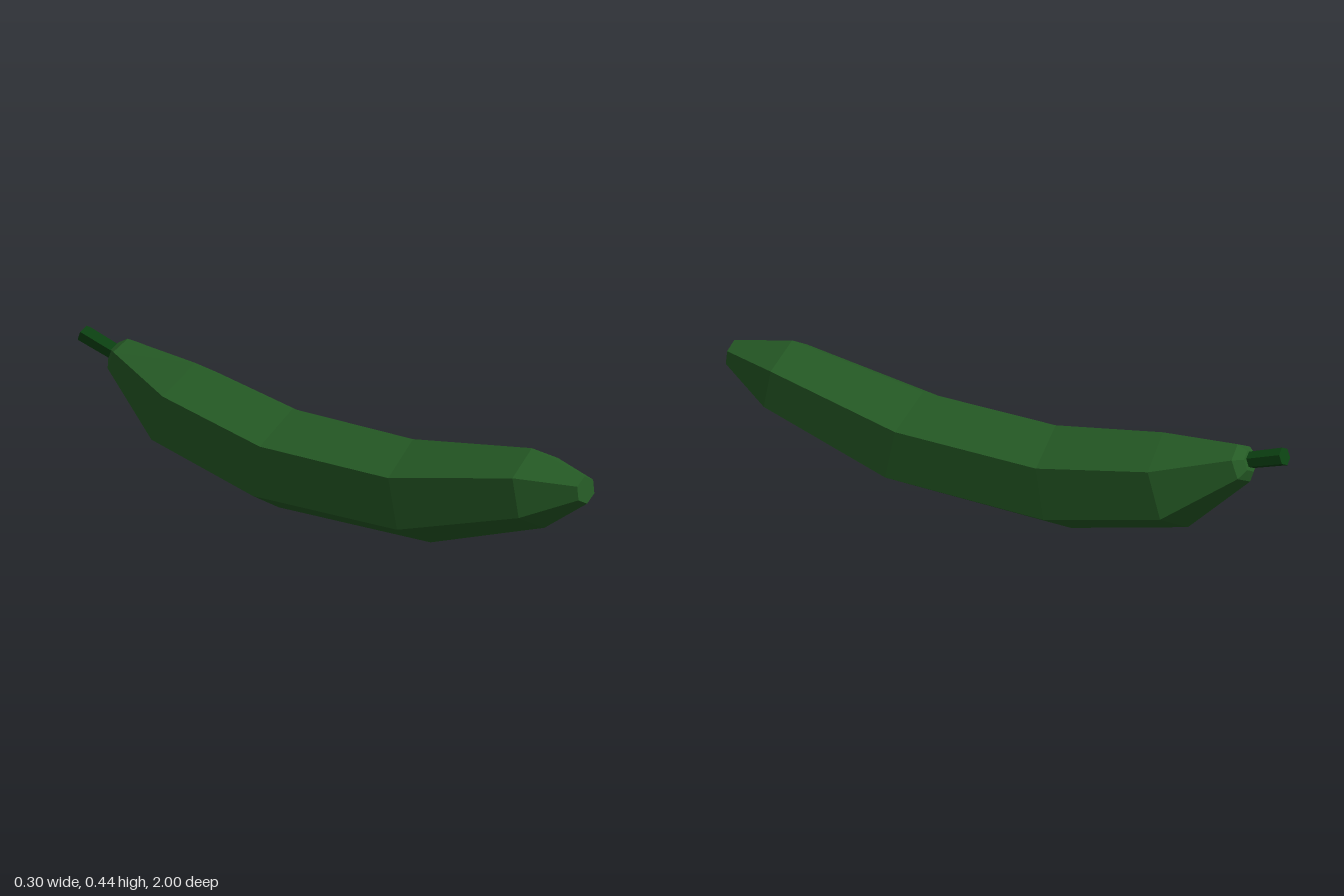
import * as THREE from 'three';

const SIDES = 6;

// Closed six-sided tube through tilted rings, listed from front (+z) to back.
// Each ring: [centre x, half width, top z, top y, bottom z, bottom y]
function loft(name, rings, material) {
  const pos = [];
  const point = ([cx, hw, tz, ty, bz, by], k) => {
    const a = (k / SIDES) * Math.PI * 2;
    const t = (1 + Math.cos(a)) / 2;
    const x = cx + (hw * Math.sin(a)) / Math.sin(Math.PI / 3);
    return [x, by + (ty - by) * t, bz + (tz - bz) * t];
  };
  const tri = (a, b, c) => pos.push(...a, ...b, ...c);
  const first = rings[0];
  const last = rings[rings.length - 1];

  // Side walls
  for (let i = 0; i < rings.length - 1; i++) {
    for (let k = 0; k < SIDES; k++) {
      const a = point(rings[i], k);
      const b = point(rings[i], k + 1);
      const c = point(rings[i + 1], k);
      const d = point(rings[i + 1], k + 1);
      tri(a, b, c);
      tri(b, d, c);
    }
  }
  // End caps
  for (let k = 1; k < SIDES - 1; k++) {
    tri(point(first, 0), point(first, k + 1), point(first, k));
    tri(point(last, 0), point(last, k), point(last, k + 1));
  }

  const geometry = new THREE.BufferGeometry();
  geometry.setAttribute('position', new THREE.Float32BufferAttribute(pos, 3));
  geometry.computeVertexNormals(); // unshared corners give flat facets
  const mesh = new THREE.Mesh(geometry, material);
  mesh.name = name;
  return mesh;
}

export function createModel() {
  const skin = new THREE.MeshStandardMaterial({ color: 0x265c26, flatShading: true });
  skin.name = 'skinGreen';
  const dark = new THREE.MeshStandardMaterial({ color: 0x0c4212, flatShading: true });
  dark.name = 'stemGreen';

  const group = new THREE.Group();
  group.name = 'vegetable';

  // Curved body, blunt at the front and tapering to a shoulder at the back
  group.add(loft('body', [
    [0.004, 0.041, 0.99, 0.38, 1.0, 0.29],
    [0.004, 0.117, 0.78, 0.427, 0.83, 0.17],
    [-0.002, 0.151, 0.31, 0.352, 0.38, 0.02],
    [-0.002, 0.152, -0.17, 0.345, -0.225, 0.0],
    [0.0, 0.14, -0.56, 0.41, -0.65, 0.1],
    [0.0, 0.06, -0.83, 0.43, -0.875, 0.31],
    [-0.005, 0.032, -0.862, 0.412, -0.885, 0.345],
  ], skin));

  // Short stem, tilted upwards and slightly to one side
  group.add(loft('stem', [
    [-0.012, 0.026, -0.85, 0.402, -0.87, 0.35],
    [-0.018, 0.027, -0.98, 0.445, -1.0, 0.388],
  ], dark));

  return group;
}
